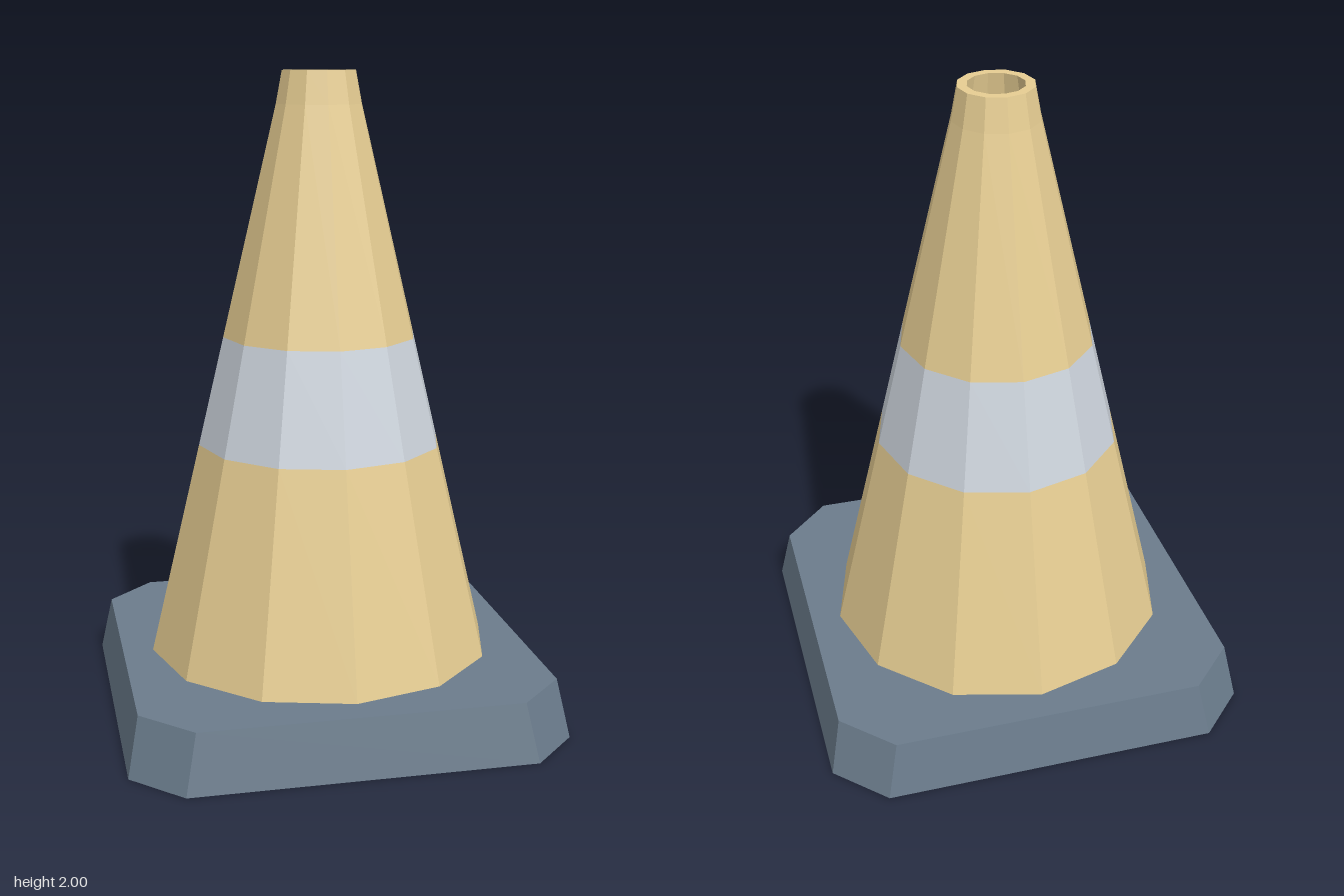
import * as THREE from 'three';

const SIDES = 12;
const BASE_H = 0.18;

const material = (color) => new THREE.MeshStandardMaterial({ color, flatShading: true });

// Faceted ring surface from [radius, height] pairs, listed upwards on the outside
function lathe(name, profile, mat) {
  const points = profile.map(([r, y]) => new THREE.Vector2(r, y));
  const mesh = new THREE.Mesh(new THREE.LatheGeometry(points, SIDES), mat);
  mesh.name = name;
  return mesh;
}

// Square plate with cut corners and sloping sides
function createBase(mat) {
  const a = 0.675, c = 0.525, inset = 0.035;
  const outline = [[a, -c], [a, c], [c, a], [-c, a], [-a, c], [-a, -c], [-c, -a], [c, -a]];
  const shape = new THREE.Shape(outline.map(([x, y]) => new THREE.Vector2(x, y)));
  const geometry = new THREE.ExtrudeGeometry(shape, { depth: BASE_H, bevelEnabled: false });
  geometry.rotateX(-Math.PI / 2);
  // Pull the upper edge inwards
  const p = geometry.attributes.position;
  for (let i = 0; i < p.count; i++) {
    if (p.getY(i) > BASE_H / 2) {
      p.setX(i, p.getX(i) - Math.sign(p.getX(i)) * inset);
      p.setZ(i, p.getZ(i) - Math.sign(p.getZ(i)) * inset);
    }
  }
  geometry.computeVertexNormals();
  const mesh = new THREE.Mesh(geometry, mat);
  mesh.name = 'base';
  return mesh;
}

export function createModel() {
  const group = new THREE.Group();
  group.name = 'trafficCone';
  const yellow = material(0xe6cd92);
  const silver = material(0xcdd4dc);
  const slate = material(0x6b7c8c);

  group.add(
    createBase(slate),
    lathe('lowerCone', [[0.545, BASE_H], [0.385, 0.85]], yellow),
    lathe('reflectiveBand', [[0.385, 0.85], [0.304, 1.19]], silver),
    // Upper cone, straighter neck, rim and hollow inside
    lathe('upperCone', [[0.304, 1.19], [0.134, 1.9], [0.115, 2]], yellow),
    lathe('rim', [[0.115, 2], [0.086, 2]], yellow),
    lathe('innerWall', [[0.086, 2], [0.104, 1.9], [0.51, BASE_H]], yellow),
  );
  return group;
}
